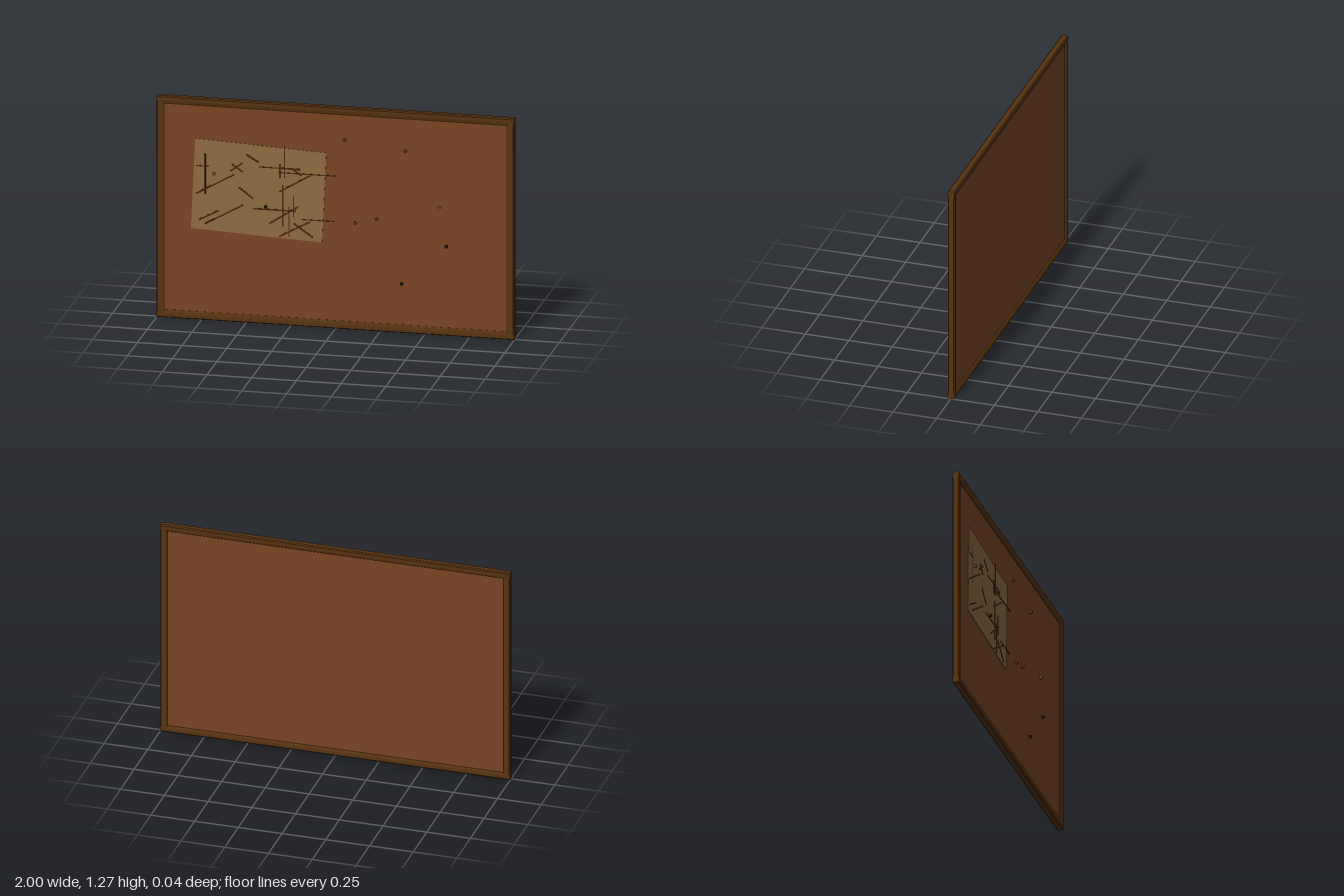
import * as THREE from 'three';

const W = 2, H = 1.267, FRONT = 0.008;
const mat = (name, color, side = THREE.FrontSide) => {
  const m = new THREE.MeshStandardMaterial({ color, side });
  m.name = name;
  return m;
};

export function createModel() {
  const root = new THREE.Group();
  root.name = 'noticeBoard';
  const wood = mat('frame wood', 0x58330f);
  const cork = mat('cork', 0x784525);
  const paper = mat('paper', 0x8f6b42);
  const ink = mat('ink', 0x4a2a0c);
  const darkPin = mat('dark pin', 0x2c1b10);
  const brownPin = mat('brown pin', 0x6e4018);
  const tanPin = mat('tan pin', 0x8a5a2c);

  const add = (name, geometry, material, x = 0, y = 0, z = 0, parent = root) => {
    const mesh = new THREE.Mesh(geometry, material);
    mesh.name = name;
    mesh.position.set(x, y, z);
    parent.add(mesh);
    return mesh;
  };

  // Frame: one moulded profile (inward, depth), swept along each side
  const profile = new THREE.Shape([
    [0, -0.015], [0.006, -0.021], [0.024, -0.021], [0.034, -0.018], [0.04, -0.011],
    [0.046, -0.008], [0.046, 0.01], [0.038, 0.015], [0.024, 0.018], [0.006, 0.018], [0, 0.012],
  ].map(([u, d]) => new THREE.Vector2(u, d)));
  const basis = new THREE.Matrix4().makeBasis(
    new THREE.Vector3(0, 1, 0), new THREE.Vector3(0, 0, 1), new THREE.Vector3(1, 0, 0));
  ['bottomRail', 'leftRail', 'topRail', 'rightRail'].forEach((name, i) => {
    const upright = i % 2 === 1;
    const length = upright ? H - 0.05 : W;
    const g = new THREE.ExtrudeGeometry(profile, { depth: length, bevelEnabled: false });
    g.translate(0, 0, -length / 2).applyMatrix4(basis);
    g.translate(0, upright ? -W / 2 : -H / 2, 0).rotateZ(i * Math.PI / 2);
    add(name, g, wood, 0, H / 2, 0);
  });

  // Cork panel
  add('corkPanel', new THREE.BoxGeometry(W - 0.06, H - 0.06, 0.02), cork, 0, H / 2, FRONT - 0.01);

  // Tilted sheet of paper
  const sheet = add('paperSheet', new THREE.BoxGeometry(0.735, 0.515, 0.003), paper, -0.43, 0.76, FRONT + 0.0015);
  sheet.rotation.z = -0.047;

  // Drawn strokes: x1, y1, x2, y2
  const thick = [
    [-0.73, 0.95, -0.73, 0.72], [-0.78, 0.72, -0.57, 0.84], [-0.59, 0.86, -0.52, 0.91],
    [-0.58, 0.9, -0.52, 0.86], [-0.5, 0.96, -0.43, 0.92], [-0.31, 0.92, -0.31, 0.84],
    [-0.25, 0.9, -0.19, 0.86], [-0.315, 0.76, -0.14, 0.865], [-0.54, 0.77, -0.46, 0.71],
    [-0.765, 0.57, -0.655, 0.63], [-0.73, 0.55, -0.52, 0.67], [-0.46, 0.655, -0.225, 0.655],
  ];
  const more = [
    [-0.295, 0.8, -0.295, 0.565], [-0.37, 0.575, -0.21, 0.68], [-0.315, 0.505, -0.14, 0.6],
    [-0.235, 0.585, -0.125, 0.51], [-0.32, 0.895, -0.2, 0.895],
  ];
  const thin = [
    [-0.78, 0.88, -0.71, 0.88], [-0.43, 0.895, -0.24, 0.895], [-0.285, 1.03, -0.285, 0.84],
    [-0.32, 0.87, 0, 0.87], [-0.235, 0.74, -0.235, 0.62], [-0.26, 0.68, -0.26, 0.505],
    [-0.19, 0.61, -0.01, 0.61],
  ];
  const strokes = new THREE.Group();
  strokes.name = 'strokes';
  root.add(strokes);
  const draw = (width) => ([x1, y1, x2, y2]) => {
    const g = new THREE.BoxGeometry(Math.hypot(x2 - x1, y2 - y1), width, 0.004);
    const s = add('stroke', g, ink, (x1 + x2) / 2, (y1 + y2) / 2, FRONT + 0.003, strokes);
    s.rotation.z = Math.atan2(y2 - y1, x2 - x1);
  };
  [...thick, ...more].forEach(draw(0.009));
  thin.forEach(draw(0.006));

  // Push pins
  const pinGeometry = new THREE.CylinderGeometry(0.008, 0.009, 0.015, 12).rotateX(Math.PI / 2);
  [
    [-0.68, 0.84, tanPin], [0.05, 1.08, brownPin], [0.39, 1.04, brownPin],
    [0.11, 0.61, brownPin], [0.23, 0.64, brownPin], [0.58, 0.73, tanPin],
    [0.62, 0.51, darkPin], [0.37, 0.28, darkPin], [-0.39, 0.67, darkPin],
  ].forEach(([x, y, m]) => add('pushPin', pinGeometry, m, x, y, 0.0155));

  return root;
}
